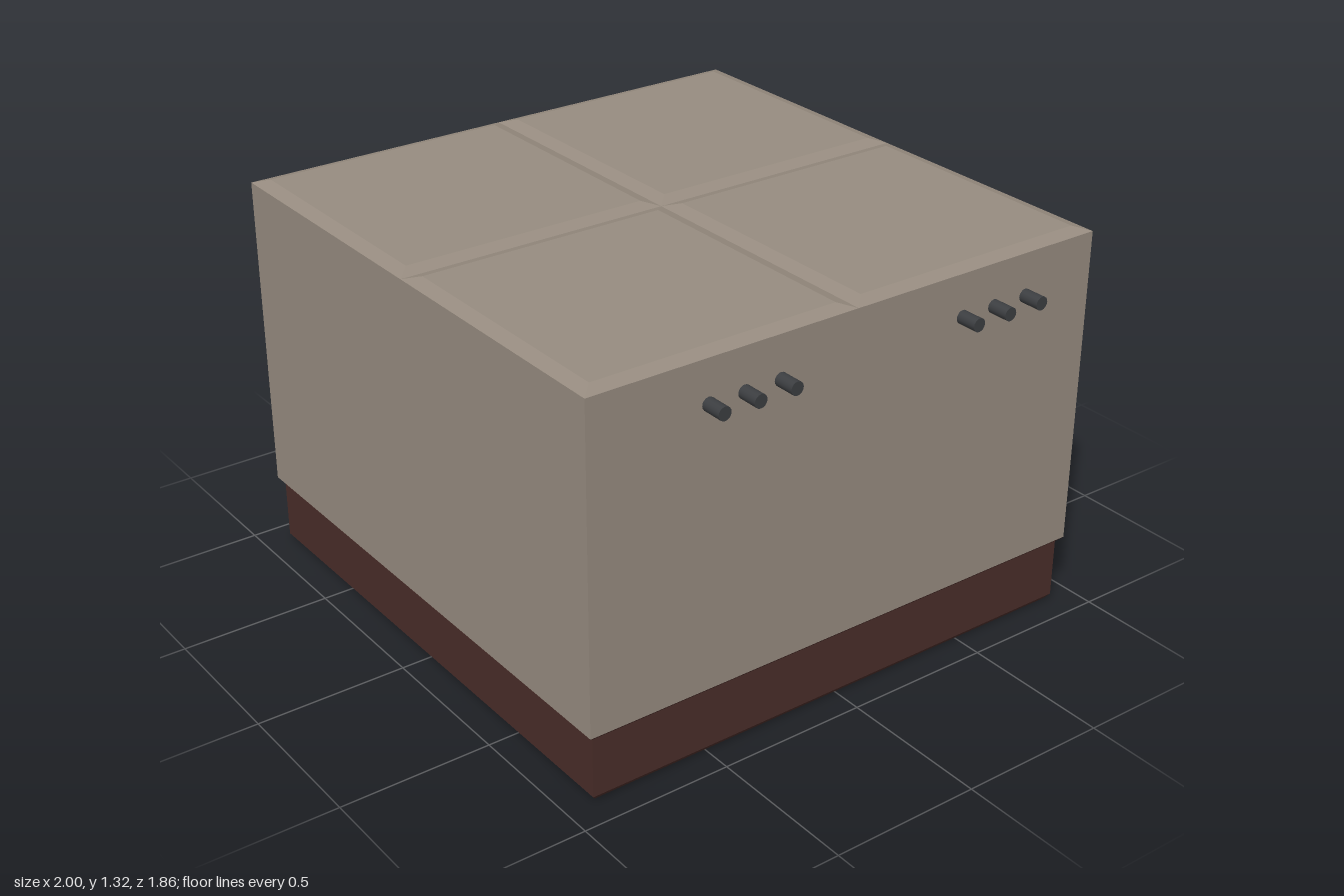
import * as THREE from 'three';

const fabric = new THREE.MeshStandardMaterial({ color: 0x978c80, flatShading: true });
const wood = new THREE.MeshStandardMaterial({ color: 0x4a2d29, flatShading: true });
const underside = new THREE.MeshStandardMaterial({ color: 0x2b2a26 });
const metal = new THREE.MeshStandardMaterial({ color: 0x3c3e41 });

// Square block whose half-width goes from `bottom` at y0 to `top` at y1
function block(name, bottom, top, y0, y1, material, open = false) {
  const geometry = new THREE.CylinderGeometry(top * Math.SQRT2, bottom * Math.SQRT2, y1 - y0, 4, 1, open);
  geometry.rotateY(Math.PI / 4);
  const mesh = new THREE.Mesh(geometry, material);
  mesh.name = name;
  mesh.position.y = (y0 + y1) / 2;
  return mesh;
}

export function createModel() {
  const model = new THREE.Group();
  model.name = 'ottoman';

  // Plinth with a bevelled foot and a flared collar under the body
  const base = new THREE.Group();
  base.name = 'base';
  base.add(
    block('footBevel', 0.895, 0.91, 0, 0.02, wood, true),
    block('plinth', 0.91, 0.91, 0.02, 0.22, wood, true),
    block('collar', 0.91, 0.928, 0.22, 0.238, wood, true)
  );
  const panel = new THREE.Mesh(new THREE.PlaneGeometry(1.79, 1.79).rotateX(Math.PI / 2), underside);
  panel.name = 'bottomPanel';
  base.add(panel);
  model.add(base);

  // Upholstered body
  model.add(block('body', 0.928, 0.928, 0.238, 1.306, fabric, true));

  // Four bevelled top panels meeting in shallow grooves
  const half = 0.464;
  for (const x of [-half, half]) {
    for (const z of [-half, half]) {
      const pad = block('topPanel', half, half - 0.046, 1.306, 1.32, fabric);
      pad.position.x = x;
      pad.position.z = z;
      model.add(pad);
    }
  }

  // Two groups of three pins on each side
  const pinGeometry = new THREE.CylinderGeometry(0.022, 0.022, 0.09, 16).rotateZ(Math.PI / 2);
  for (const side of [-1, 1]) {
    const pins = new THREE.Group();
    pins.name = side > 0 ? 'leftPins' : 'rightPins';
    for (const z of [0.525, 0.402, 0.275, -0.405, -0.53, -0.657]) {
      const pin = new THREE.Mesh(pinGeometry, metal);
      pin.name = 'pin';
      pin.position.set(side * 0.955, 1.167, z);
      pins.add(pin);
    }
    model.add(pins);
  }
  return model;
}
